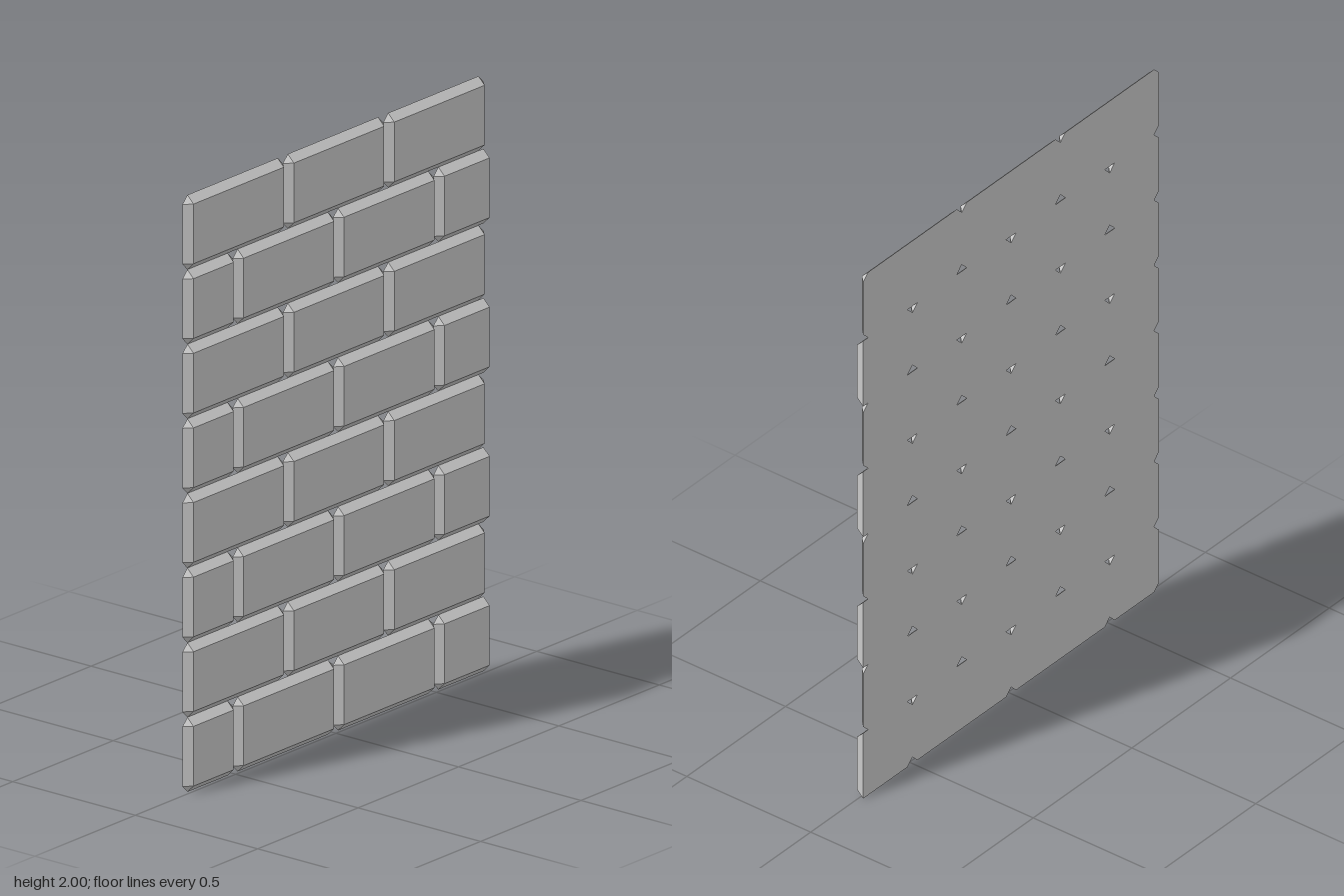
import * as THREE from 'three';

const ROWS = 8, WIDTH = 1.5, BRICK_W = 0.5, BRICK_H = 0.25, BEVEL = 0.025, HALF_DEPTH = 0.0125;

// Bevelled brick: eight-sided back outline, four-sided front face.
// rightBevel = 0 gives a flat, sawn-off right end.
function brickGeometry(width, height, rightBevel) {
  const x = width / 2, y = height / 2, b = BEVEL, r = rightBevel;
  const rim = [
    [-x + b, -y], [x - r, -y], [x, -y + b], [x, y - b],
    [x - r, y], [-x + b, y], [-x, y - b], [-x, -y + b],
  ];
  const face = [[-x + b, -y + b], [x - r, -y + b], [x - r, y - b], [-x + b, y - b]];
  const points = [
    ...rim.flatMap(([px, py]) => [px, py, -HALF_DEPTH]),
    ...face.flatMap(([px, py]) => [px, py, HALF_DEPTH]),
  ];

  const index = [8, 9, 10, 8, 10, 11]; // front face
  for (let k = 1; k < 7; k++) index.push(0, k + 1, k); // back face
  for (let i = 0; i < 4; i++) {
    const a = 2 * i, c = (a + 2) % 8, f = 8 + i, n = 8 + ((i + 1) % 4);
    index.push(a, a + 1, n, a, n, f); // sloping side
    index.push(a + 1, c, n); // corner
  }

  const indexed = new THREE.BufferGeometry();
  indexed.setAttribute('position', new THREE.Float32BufferAttribute(points, 3));
  indexed.setIndex(index);
  const geometry = indexed.toNonIndexed();
  geometry.computeVertexNormals();
  return geometry;
}

export function createModel() {
  const wall = new THREE.Group();
  wall.name = 'brickWall';
  const material = new THREE.MeshStandardMaterial({ color: 0xcccccc, flatShading: true });

  const fullBrick = brickGeometry(BRICK_W, BRICK_H, BEVEL);
  const halfBrick = brickGeometry(BRICK_W / 2, BRICK_H, BEVEL);
  const cutBrick = brickGeometry(BRICK_W / 2, BRICK_H, 0);

  for (let row = 0; row < ROWS; row++) {
    const course = new THREE.Group();
    course.name = `course${row + 1}`;
    course.position.y = (row + 0.5) * BRICK_H;
    wall.add(course);

    const addBrick = (name, geometry, x) => {
      const brick = new THREE.Mesh(geometry, material);
      brick.name = name;
      brick.position.x = x;
      course.add(brick);
    };

    // Courses alternate: three whole bricks, or two between short end bricks
    const staggered = row % 2 === 0;
    const count = staggered ? 2 : 3;
    for (let i = 0; i < count; i++) {
      addBrick('brick', fullBrick, (i - (count - 1) / 2) * BRICK_W);
    }
    if (staggered) {
      const endX = WIDTH / 2 - BRICK_W / 4;
      addBrick('halfBrick', halfBrick, -endX);
      addBrick('cutBrick', cutBrick, endX);
    }
  }
  return wall;
}
